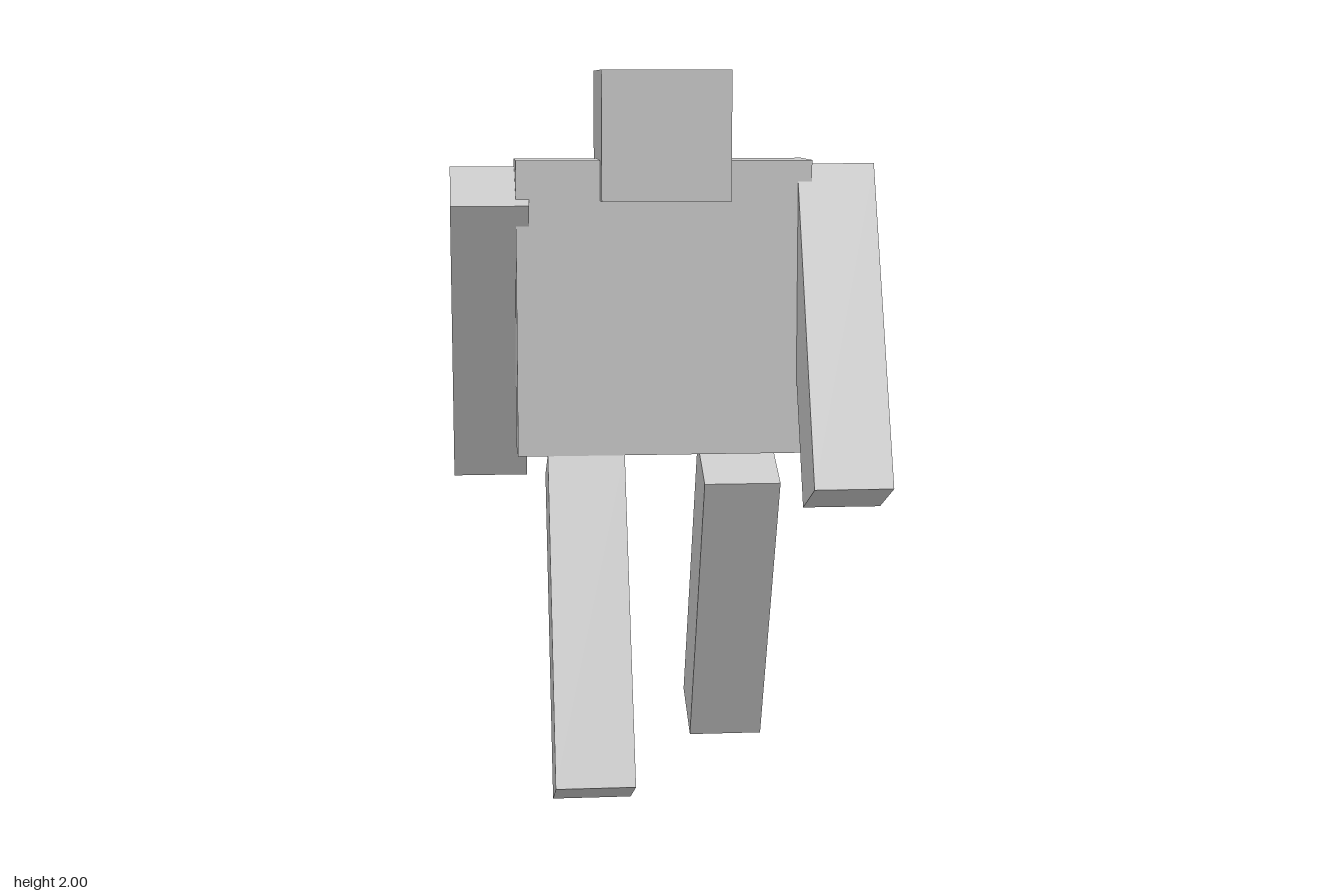
import * as THREE from 'three';

const material = new THREE.MeshStandardMaterial({ color: 0xcccccc, flatShading: true });

function addBox(group, name, size, position, swing = 0) {
  const mesh = new THREE.Mesh(new THREE.BoxGeometry(...size), material);
  mesh.name = name;
  mesh.position.set(...position);
  // positive swing brings the lower end forward
  mesh.rotation.x = -THREE.MathUtils.degToRad(swing);
  group.add(mesh);
}

export function createModel() {
  const group = new THREE.Group();
  group.name = 'blockFigure';

  addBox(group, 'head', [0.357, 0.357, 0.357], [0, 1.822, 0]);
  addBox(group, 'torso', [0.822, 0.822, 0.21], [0, 1.343, 0.005]);

  // Limbs in a walking pose: name, centre, swing in degrees
  const limbSize = [0.216, 0.932, 0.215];
  const limbs = [
    ['leftArm', [0.48, 1.273, 0.172], 23],
    ['rightArm', [-0.483, 1.272, -0.175], -28.3],
    ['leftLeg', [0.222, 0.468, -0.186], -25],
    ['rightLeg', [-0.22, 0.468, 0.202], 24.5],
  ];
  for (const [name, centre, swing] of limbs) addBox(group, name, limbSize, centre, swing);

  return group;
}
